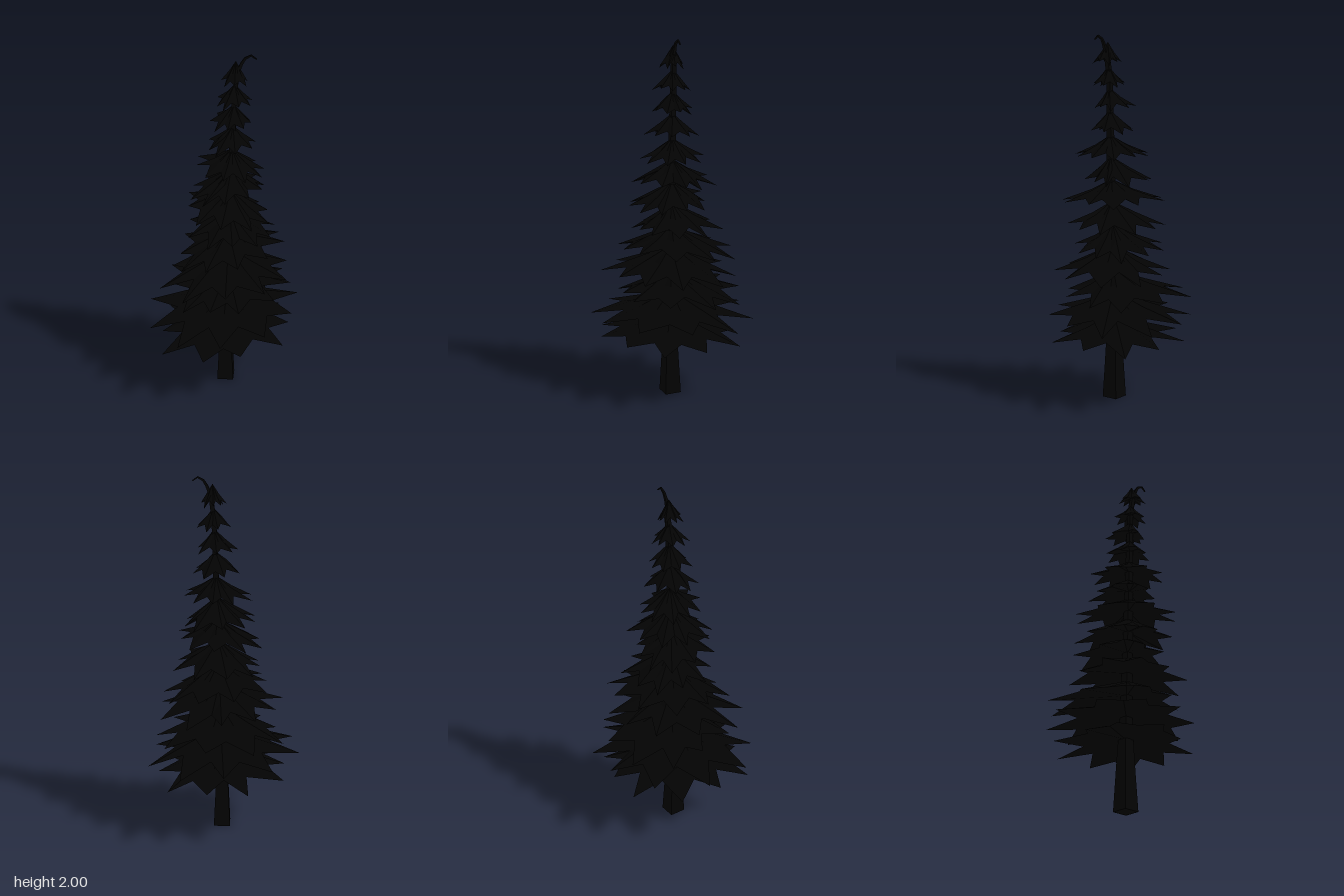
import * as THREE from 'three';

const material = new THREE.MeshStandardMaterial({ color: 0x030303, flatShading: true, side: THREE.DoubleSide });

// Trunk axis, leaning slightly and curling over at the tip
const axis = new THREE.CatmullRomCurve3([
  [-0.003, 0, 0.031], [-0.003, 0.35, 0.032], [0.008, 1, 0.045], [0.02, 1.5, 0.055],
  [0.03, 1.8, 0.063], [0.04, 1.92, 0.083], [0.063, 1.982, 0.108], [0.083, 1.994, 0.13], [0.1, 1.975, 0.146],
].map(p => new THREE.Vector3(...p)));

// Tiers: tip height, tier height, reach to -x, +x, +z, -z
const tiers = [
  [0.32, 0.16, 0.44, 0.41, 0.39, 0.34],
  [0.445, 0.16, 0.44, 0.44, 0.395, 0.395],
  [0.57, 0.16, 0.32, 0.41, 0.31, 0.375],
  [0.695, 0.17, 0.385, 0.35, 0.365, 0.275],
  [0.825, 0.155, 0.32, 0.38, 0.24, 0.25],
  [0.955, 0.15, 0.20, 0.28, 0.29, 0.25],
  [1.085, 0.14, 0.23, 0.21, 0.31, 0.24],
  [1.205, 0.145, 0.21, 0.25, 0.195, 0.175],
  [1.34, 0.125, 0.15, 0.185, 0.24, 0.165],
  [1.475, 0.125, 0.13, 0.155, 0.165, 0.09],
  [1.595, 0.125, 0.10, 0.135, 0.14, 0.085],
  [1.72, 0.115, 0.08, 0.12, 0.15, 0.03],
  [1.835, 0.125, 0.05, 0.09, 0.15, 0.005],
];

let seed = 7;
function rand() {
  seed = (seed * 16807) % 2147483647;
  return seed / 2147483647;
}

// Four-sided tapered tube: each ring of a unit tube is scaled about the axis
function trunkGeometry() {
  const rings = 60, sides = 4;
  const geo = new THREE.TubeGeometry(axis, rings, 1, sides);
  const pos = geo.attributes.position;
  const v = new THREE.Vector3();
  for (let i = 0; i <= rings; i++) {
    const u = i / rings, c = axis.getPointAt(u);
    const flare = Math.max(0, 1 - c.y / 0.5);
    const r = u > 0.9 ? 0.016 - 0.12 * (u - 0.9) : 0.04 - 0.024 * (u / 0.9) + 0.025 * flare;
    for (let j = 0; j <= sides; j++) {
      const k = i * (sides + 1) + j;
      v.fromBufferAttribute(pos, k).sub(c).multiplyScalar(r).add(c);
      pos.setXYZ(k, v.x, Math.max(0, v.y), v.z);
    }
  }
  geo.computeVertexNormals();
  return geo;
}

// Star-shaped drooping skirt: apex, folded mid ring, spiked rim, closed underside
function tierGeometry([y, h, left, right, front, back], index) {
  const spikes = index < 9 ? 10 : 8, n = spikes * 2;
  const t = (y + h / 2) / 1.9;
  const cx = -0.003 + 0.032 * t ** 1.3, cz = 0.031 + 0.037 * t ** 1.6;
  const phase = 0.04 + (index % 2) * Math.PI / spikes; // neighbouring tiers interleave
  const point = (a, f, py) => {
    const c = Math.cos(a), s = Math.sin(a);
    const rx = c > 0 ? right - cx : left + cx;
    const rz = s > 0 ? front - cz : back + cz;
    return [cx + c * rx * f, py, cz + s * rz * f];
  };
  const verts = [cx, y + h, cz, cx, y + h * 0.46, cz];
  for (let i = 0; i < n; i++) {
    const tip = i % 2 === 0;
    const a = phase + (i / n) * Math.PI * 2 + (rand() - 0.5) * 0.12;
    const side = Math.abs(Math.cos(a));
    const along = Math.max(side, Math.abs(Math.sin(a)));
    const reach = !tip ? 0.6 + 0.1 * rand() : along > 0.93 ? 1 / along : 0.85 + 0.18 * rand();
    const drop = !tip ? 0.26 + 0.08 * rand() : side > 0.9 ? 0.03 * rand() : 0.08 + 0.12 * rand();
    verts.push(...point(a, tip ? 0.44 : 0.36, y + h * (tip ? 0.58 : 0.56)));
    verts.push(...point(a, reach, y + h * drop));
  }
  const faces = [];
  for (let i = 0; i < n; i++) {
    const m = 2 + i * 2, r = m + 1, m2 = 2 + ((i + 1) % n) * 2, r2 = m2 + 1;
    faces.push(0, m2, m, m, m2, r2, m, r2, r, 1, r, r2);
  }
  const geo = new THREE.BufferGeometry();
  geo.setAttribute('position', new THREE.Float32BufferAttribute(verts, 3));
  geo.setIndex(faces);
  geo.computeVertexNormals();
  return geo;
}

export function createModel() {
  const tree = new THREE.Group();
  tree.name = 'firTree';
  const add = (name, geo) => {
    const mesh = new THREE.Mesh(geo, material);
    mesh.name = name;
    tree.add(mesh);
    return mesh;
  };

  add('trunk', trunkGeometry());
  const base = add('trunkBase', new THREE.CircleGeometry(0.064, 4));
  base.rotation.x = Math.PI / 2;
  base.position.set(-0.003, 0.001, 0.031);

  tiers.forEach((tier, i) => add('branchTier' + (i + 1), tierGeometry(tier, i)));
  return tree;
}
